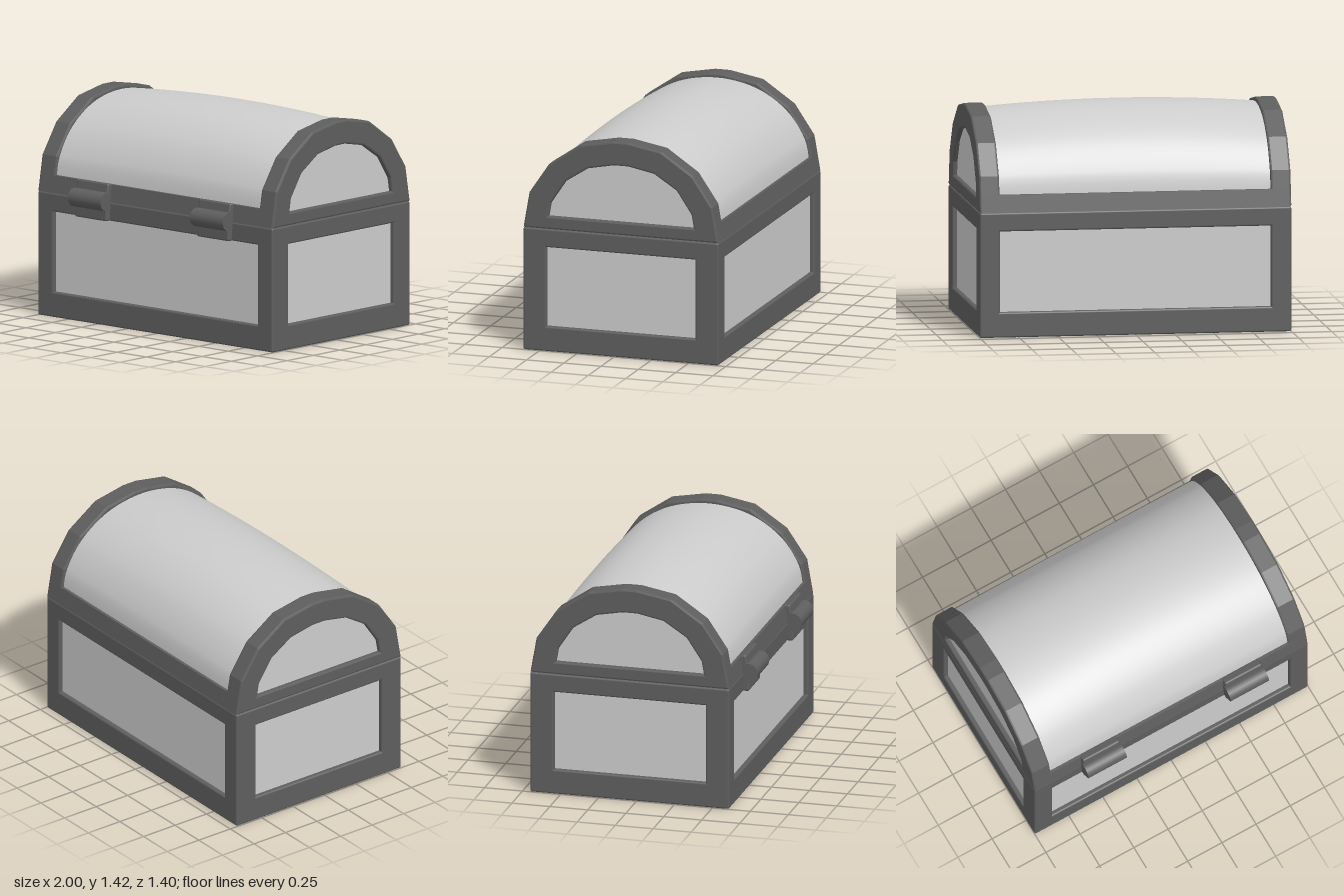
import * as THREE from 'three';
import { RoundedBoxGeometry } from 'three/addons/geometries/RoundedBoxGeometry.js';
import { ParametricGeometry } from 'three/addons/geometries/ParametricGeometry.js';

const BEVEL = 0.012;
const V2 = (p) => new THREE.Vector2(p[0], p[1]);

// Mirrors a half profile (outer bottom to crown) into a full arch
const arch = (half) => [...half, ...half.slice().reverse().map(([z, y]) => [-z, y])].map(V2);

// Bevelled extrusion centred on x, its profile lying in the z-y plane
function extrudeAlongX(shape, length) {
  const g = new THREE.ExtrudeGeometry(shape, {
    depth: length - 2 * BEVEL, bevelEnabled: true, bevelSize: BEVEL,
    bevelThickness: BEVEL, bevelOffset: -BEVEL, bevelSegments: 2,
  });
  g.translate(0, 0, -(length - 2 * BEVEL) / 2);
  return g.rotateY(Math.PI / 2);
}

export function createModel() {
  const frame = new THREE.MeshStandardMaterial({ color: 0x5e5e5e });
  frame.name = 'dark frame';
  const panel = new THREE.MeshStandardMaterial({ color: 0xcccccc });
  panel.name = 'light panel';

  const chest = new THREE.Group();
  chest.name = 'chest';
  const add = (parent, name, geometry, material, x = 0, y = 0, z = 0) => {
    const m = new THREE.Mesh(geometry, material);
    m.name = name;
    m.position.set(x, y, z);
    parent.add(m);
    return m;
  };
  const group = (name) => {
    const g = new THREE.Group();
    g.name = name;
    chest.add(g);
    return g;
  };
  const beam = (w, h, d) => new RoundedBoxGeometry(w, h, d, 2, BEVEL);

  // Body: recessed panels inside a frame of posts and rails
  const W = 1, D = 0.655, H = 0.8, postX = 0.13, postZ = 0.155;
  const body = group('body');
  add(body, 'bodyPanels', new THREE.BoxGeometry(1.94, 0.76, 1.25), panel, 0, 0.4, 0);
  for (const sx of [-1, 1]) {
    for (const sz of [-1, 1]) {
      add(body, 'cornerPost', beam(postX, H, postZ), frame, sx * (W - postX / 2), H / 2, sz * (D - postZ / 2));
    }
  }
  for (const [name, y0, h] of [['bottomRail', 0, 0.162], ['topRail', 0.68, 0.12]]) {
    for (const s of [-1, 1]) {
      add(body, name, beam(2 * W, h, postZ), frame, 0, y0 + h / 2, s * (D - postZ / 2));
      add(body, name, beam(postX, h, 2 * D), frame, s * (W - postX / 2), y0 + h / 2, 0);
    }
  }

  // Lid ends: faceted arches with a recessed panel behind the opening
  const lid = group('lid');
  const archShape = new THREE.Shape(arch([[0.655, 0.8], [0.615, 1.03], [0.483, 1.225], [0.273, 1.367], [0.05, 1.408]]));
  archShape.holes.push(new THREE.Path(
    arch([[0.487, 0.884], [0.472, 0.971], [0.373, 1.12], [0.221, 1.218], [0.047, 1.252]])));
  const archGeometry = extrudeAlongX(archShape, postX);

  // Smooth curve of the lid, from front edge over the crown to the back edge
  const half = [[0.623, 0.86], [0.59, 1.03], [0.465, 1.21], [0.26, 1.338]];
  const profile = [...half, [0, 1.383], ...half.slice().reverse().map(([z, y]) => [-z, y])].map(V2);
  const curve = new THREE.SplineCurve(profile);
  const endPanel = new THREE.ShapeGeometry(new THREE.Shape(curve.getPoints(40)));
  for (const s of [-1, 1]) {
    add(lid, 'lidArch', archGeometry, frame, s * (W - postX / 2), 0, 0);
    add(lid, 'lidEndPanel', endPanel, panel, s * 0.97, 0, 0).rotation.y = s * Math.PI / 2;
  }

  // Barrel top, bowed gently upward toward the middle
  const barrel = new ParametricGeometry((u, v, target) => {
    const p = curve.getPoint(v);
    const x = (u * 2 - 1) * 0.97;
    const bow = 0.037 * (1 - (x / 0.87) ** 2) * (p.y - 0.86) / 0.52;
    target.set(x, p.y + bow, p.x);
  }, 20, 48);
  add(lid, 'lidBarrel', barrel, panel);

  // Front and back sills of the lid
  const sill = extrudeAlongX(new THREE.Shape([[-0.655, 0.8], [-0.5, 0.8], [-0.5, 0.912], [-0.636, 0.912]].map(V2)), 2 * W);
  add(lid, 'frontSill', sill, frame);
  add(lid, 'backSill', sill, frame).rotation.y = Math.PI;

  // Clasps on the front: two plates and a rounded knuckle
  const knuckle = new THREE.CylinderGeometry(0.06, 0.06, 0.28, 24).rotateZ(Math.PI / 2);
  for (const s of [-1, 1]) {
    const clasp = group(s > 0 ? 'leftClasp' : 'rightClasp');
    clasp.position.x = s * 0.52;
    add(clasp, 'lowerPlate', beam(0.27, 0.125, 0.06), frame, 0, 0.7425, 0.66);
    add(clasp, 'upperPlate', beam(0.27, 0.125, 0.06), frame, 0, 0.855, 0.65).rotation.x = -0.17;
    add(clasp, 'knuckle', knuckle, frame, 0, 0.807, 0.688);
  }

  chest.position.z = -0.045;
  const model = new THREE.Group();
  model.name = 'treasureChest';
  model.add(chest);
  return model;
}
